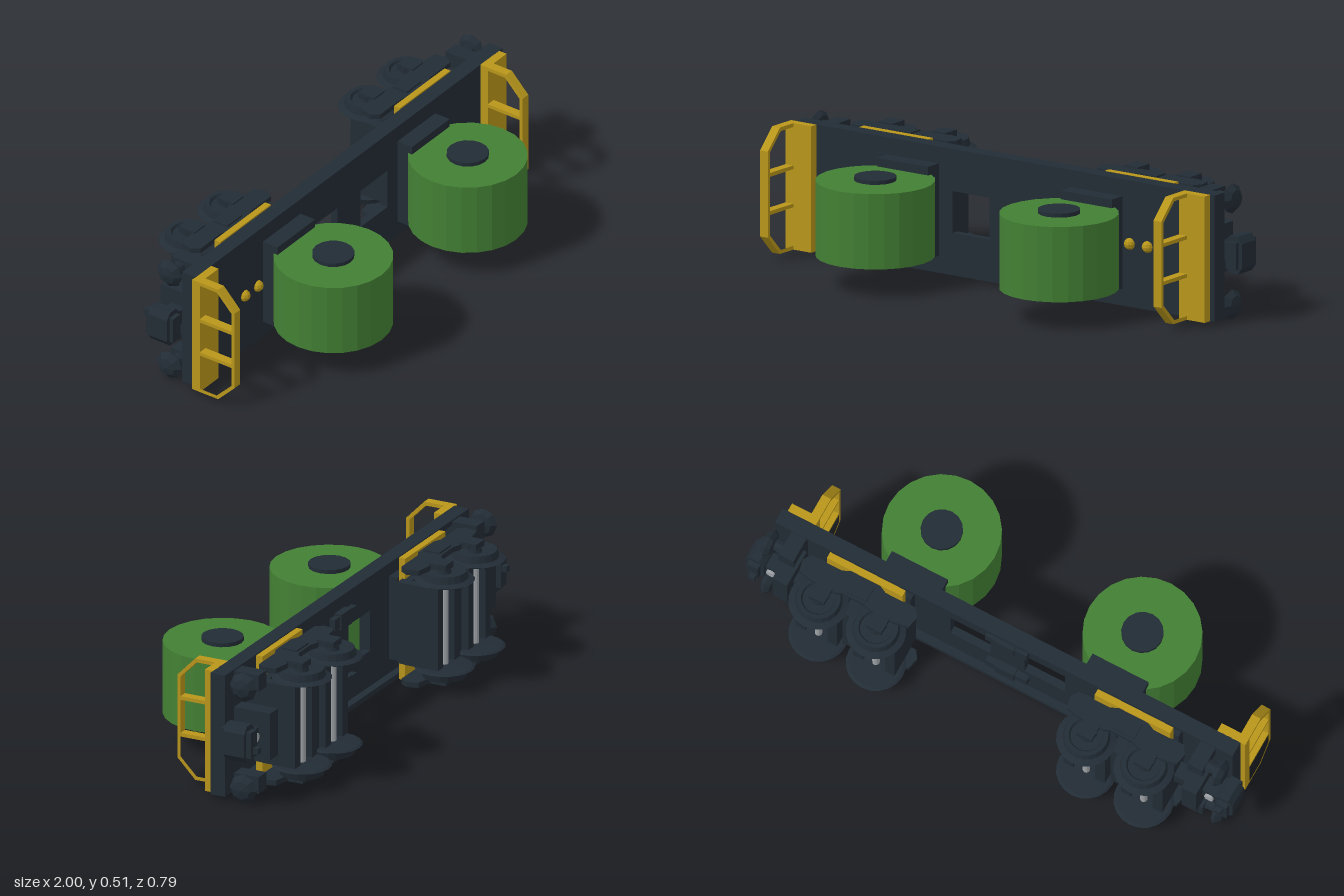
import * as THREE from 'three';

const paint = (color) => new THREE.MeshStandardMaterial({ color, flatShading: true });
const dark = paint(0x222c35), green = paint(0x438034), yellow = paint(0xb8961a), steel = paint(0xa0a4a8);

function add(parent, name, geometry, material, x = 0, y = 0, z = 0) {
  const m = new THREE.Mesh(geometry, material);
  m.name = name;
  m.position.set(x, y, z);
  parent.add(m);
  return m;
}
// box given by its limits
function box(parent, name, mat, x0, x1, y0, y1, z0, z1) {
  return add(parent, name, new THREE.BoxGeometry(x1 - x0, y1 - y0, z1 - z0), mat,
    (x0 + x1) / 2, (y0 + y1) / 2, (z0 + z1) / 2);
}
const poly = (pts) => new THREE.Shape(pts.map((p) => new THREE.Vector2(...p)));
const rect = (x0, x1, y0, y1) => poly([[x0, y0], [x1, y0], [x1, y1], [x0, y1]]);
const extrude = (shape, depth) => new THREE.ExtrudeGeometry(shape, { depth, bevelEnabled: false });

// wagon bed: thin plate with two openings, and sills around its underside
function makeDeck() {
  const g = new THREE.Group();
  g.name = 'deck';
  const plate = rect(-0.94, 0.94, -0.235, 0.235);
  for (const x of [-0.235, 0.07]) plate.holes.push(rect(x, x + 0.165, -0.078, 0.078));
  add(g, 'deckPlate', extrude(plate, 0.03), dark, 0, 0, -0.085);
  for (const s of [-1, 1]) {
    box(g, 'sideSill', dark, -0.94, 0.94, s * 0.225 - 0.01, s * 0.225 + 0.01, -0.115, -0.085);
    box(g, 'endSill', dark, s * 0.88 - 0.06, s * 0.88 + 0.06, -0.215, 0.215, -0.115, -0.085);
    box(g, 'bogieMount', dark, s * 0.55 - 0.17, s * 0.55 + 0.17, -0.16, 0.16, -0.12, -0.085);
    // equipment between the bogies
    box(g, 'brakeCylinder', dark, -0.09, 0.08, s * 0.13 - 0.022, s * 0.13 + 0.022, -0.108, -0.085);
    box(g, 'brakeValve', dark, -0.04, 0.04, s * 0.13 - 0.03, s * 0.13 + 0.03, -0.114, -0.085);
    for (const x of [0.56, 0.64]) {
      add(g, 'deckPin', new THREE.SphereGeometry(0.022, 10, 6), yellow, s * x, 0, -0.055);
    }
  }
  return g;
}

// cable drum on its saddle
function makeDrum() {
  const g = new THREE.Group();
  g.name = 'drum';
  add(g, 'drumBody', new THREE.CylinderGeometry(0.217, 0.217, 0.28, 24), green, 0, 0, 0.175);
  add(g, 'drumHub', new THREE.CylinderGeometry(0.077, 0.077, 0.31, 16), dark, 0, 0, 0.175);
  box(g, 'saddle', dark, -0.115, 0.115, -0.172, 0.172, -0.056, 0.01);
  return g;
}

// yellow end step with ladder-like railing, its outer edge at x = 0
function makeRailing() {
  const g = new THREE.Group();
  g.name = 'endRailing';
  box(g, 'endStep', yellow, 0, 0.115, -0.235, 0.235, -0.056, -0.022);
  const rail = poly([[0.03, -0.235], [-0.06, -0.235], [-0.133, -0.16], [-0.133, 0.16], [-0.06, 0.235], [0.03, 0.235]]);
  rail.holes.push(
    poly([[0.022, -0.221], [-0.054, -0.221], [-0.12, -0.154], [-0.12, -0.078], [0.022, -0.078]]),
    rect(-0.12, 0.022, -0.064, 0.064),
    poly([[0.022, 0.221], [-0.054, 0.221], [-0.12, 0.154], [-0.12, 0.078], [0.022, 0.078]]));
  add(g, 'rail', extrude(rail, 0.035).rotateY(Math.PI / 2), yellow);
  return g;
}

function makeWheelset() {
  const g = new THREE.Group();
  g.name = 'wheelset';
  const profile = [[0, 0.158], [0.1, 0.164], [0.11, 0.169], [0.087, 0.178], [0.08, 0.204], [0.064, 0.204],
    [0.058, 0.194], [0.025, 0.194], [0.022, 0.212], [0, 0.212]].map((p) => new THREE.Vector2(...p));
  for (const turn of [0, Math.PI]) {
    add(g, 'wheel', new THREE.LatheGeometry(profile, 20).rotateX(turn), dark);
  }
  add(g, 'axle', new THREE.CylinderGeometry(0.014, 0.014, 0.34, 10), steel);
  return g;
}

// two-axle bogie around x = 0
function makeBogie() {
  const g = new THREE.Group();
  g.name = 'bogie';
  box(g, 'bolster', yellow, -0.15, 0.16, -0.235, 0.235, -0.146, -0.12);
  box(g, 'bogieTop', dark, -0.2, 0.2, -0.157, 0.157, -0.175, -0.135);
  box(g, 'crossBeam', dark, -0.022, 0.022, -0.157, 0.157, -0.28, -0.15);
  add(g, 'pivot', new THREE.CylinderGeometry(0.05, 0.05, 0.05, 12).rotateX(Math.PI / 2), dark, 0, 0, -0.135);

  // side frame outline (along the rail, depth below the bed)
  const frame = [[-0.235, 0.19], [-0.215, 0.16], [-0.09, 0.16], [-0.06, 0.146], [0.06, 0.146], [0.09, 0.16],
    [0.215, 0.16], [0.235, 0.19], [0.225, 0.235], [0.17, 0.245], [0.07, 0.245], [0.045, 0.235],
    [-0.045, 0.235], [-0.07, 0.245], [-0.17, 0.245], [-0.225, 0.235]];
  for (const s of [-1, 1]) {
    add(g, 'sideFrame', extrude(poly(frame), 0.02).rotateX(-Math.PI / 2), dark, 0, s * 0.217 - 0.01, 0);
    box(g, 'springPlank', dark, -0.045, 0.045, s * 0.222 - 0.012, s * 0.222 + 0.012, -0.225, -0.165);
  }
  for (const x of [-0.118, 0.118]) {
    const set = makeWheelset();
    set.position.set(x, 0, -0.285);
    g.add(set);
    for (const s of [-1, 1]) {
      box(g, 'axleBox', dark, x - 0.032, x + 0.032, s * 0.221 - 0.012, s * 0.221 + 0.012, -0.305, -0.235);
      add(g, 'axleCap', new THREE.CylinderGeometry(0.035, 0.035, 0.018, 12), dark, x, s * 0.219, -0.27);
      // brake beams on both sides of each axle
      box(g, 'brakeBeam', dark, x + s * 0.065 - 0.02, x + s * 0.065 + 0.02, -0.157, 0.157, -0.302, -0.165);
    }
  }
  return g;
}

// buffers and coupler for the +x end
function makeEndGear() {
  const g = new THREE.Group();
  g.name = 'endGear';
  const head = [[0, 0], [0.04, 0.008], [0.056, 0.025], [0.035, 0.045], [0, 0.053]]
    .map((p) => new THREE.Vector2(...p));
  for (const s of [-1, 1]) {
    add(g, 'bufferHead', new THREE.LatheGeometry(head, 8).rotateZ(-Math.PI / 2), dark, 0.9, s * 0.197, -0.182);
    add(g, 'bufferShaft', new THREE.CylinderGeometry(0.022, 0.028, 0.1, 8).rotateZ(-Math.PI / 2),
      dark, 0.86, s * 0.197, -0.175);
    box(g, 'bufferMount', dark, 0.81, 0.87, s * 0.197 - 0.032, s * 0.197 + 0.032, -0.215, -0.114);
  }
  // chamfered coupler head
  const outline = poly([[0.925, -0.05], [0.945, -0.07], [0.98, -0.07], [1, -0.045],
    [1, 0.045], [0.98, 0.07], [0.945, 0.07], [0.925, 0.05]]);
  add(g, 'couplerHead', extrude(outline, 0.085), dark, 0, 0, -0.225);
  box(g, 'couplerJaw', dark, 0.94, 0.985, -0.05, 0.05, -0.245, -0.123);
  box(g, 'couplerLever', dark, 0.945, 0.97, -0.035, -0.012, -0.265, -0.2);
  box(g, 'couplerShank', dark, 0.72, 0.94, -0.03, 0.03, -0.215, -0.155);
  box(g, 'couplerPocket', dark, 0.81, 0.87, -0.09, 0.09, -0.262, -0.114);
  add(g, 'couplerPin', new THREE.CylinderGeometry(0.018, 0.018, 0.02, 10).rotateX(Math.PI / 2), steel, 0.9, 0, -0.215);
  return g;
}

export function createModel() {
  const model = new THREE.Group();
  model.name = 'drumWagon';
  // the wagon lies on its side: its own up is +z, its width runs along y
  const body = new THREE.Group();
  body.name = 'wagon';
  body.position.y = 0.256;
  model.add(body);
  body.add(makeDeck());
  for (const s of [-1, 1]) {
    const drum = makeDrum();
    drum.position.x = s * 0.412;
    const bogie = makeBogie();
    bogie.position.x = s * 0.55;
    const gear = makeEndGear();
    if (s < 0) gear.rotation.z = Math.PI;
    const railing = makeRailing();
    railing.position.x = s < 0 ? -0.96 : 0.805;
    body.add(drum, bogie, gear, railing);
  }
  return model;
}
